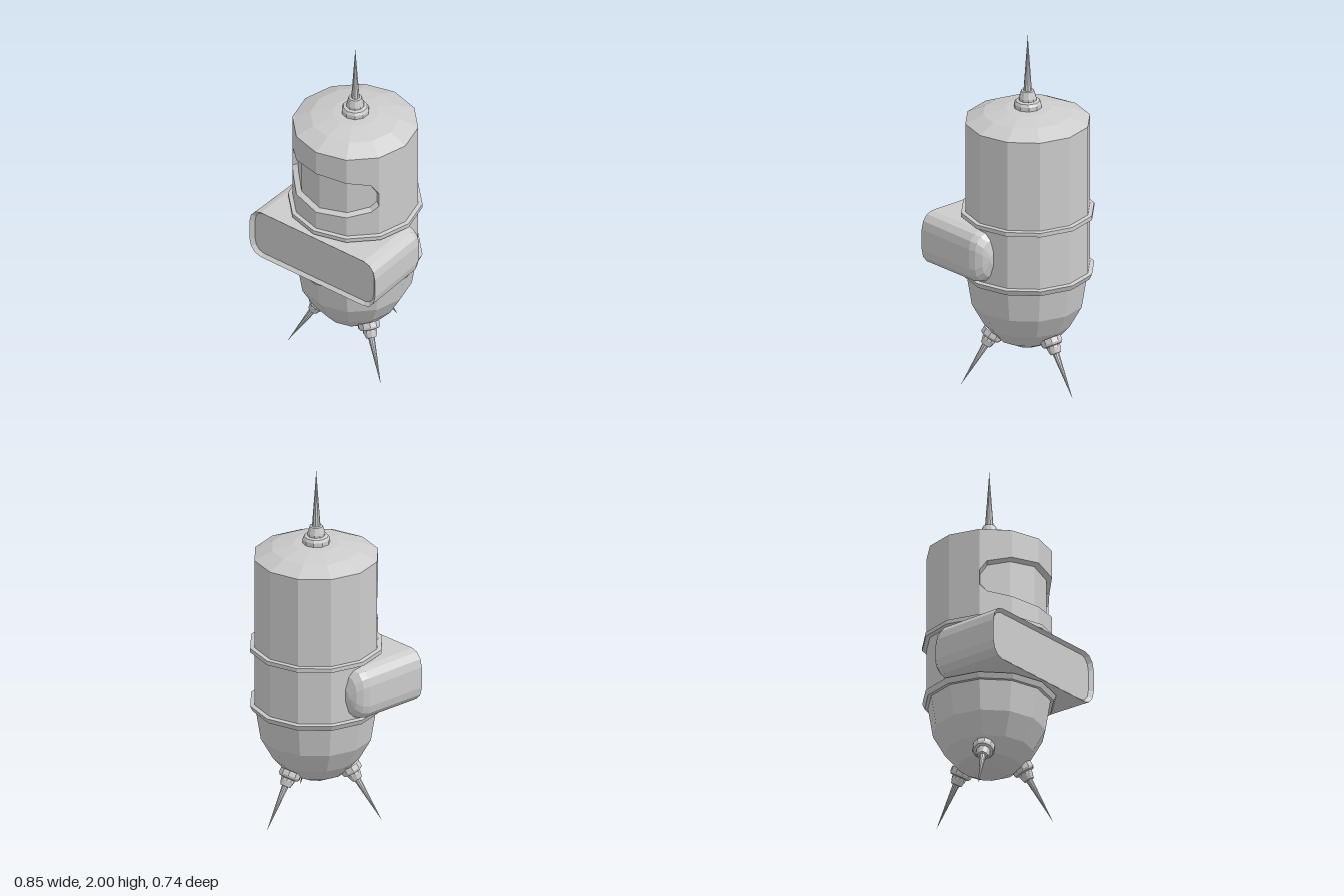
import * as THREE from 'three';

const SIDES = 12;
const material = new THREE.MeshStandardMaterial({ color: 0xcccccc, flatShading: true });

function mesh(name, geometry) {
  const m = new THREE.Mesh(geometry, material);
  m.name = name;
  return m;
}

// Turned part from [radius, y] pairs, listed bottom to top
function turned(name, profile, sides = SIDES, start = 0, sweep = Math.PI * 2) {
  const points = profile.map(([r, y]) => new THREE.Vector2(r, y));
  return mesh(name, new THREE.LatheGeometry(points, sides, start, sweep));
}

// Skin over a list of equally long cross-sections
function skin(name, sections) {
  const n = sections[0].length;
  const index = [];
  for (let i = 0; i < sections.length - 1; i++) {
    for (let j = 0; j < n - 1; j++) {
      const a = i * n + j, b = a + n;
      index.push(a, b, a + 1, b, b + 1, a + 1);
    }
  }
  const g = new THREE.BufferGeometry();
  g.setAttribute('position', new THREE.Float32BufferAttribute(sections.flat(2), 3));
  g.setIndex(index);
  const flat = g.toNonIndexed();
  flat.computeVertexNormals();
  return mesh(name, flat);
}

// Point on the twelve-sided wall at an angle in degrees from the front
function wallPoint(deg, y, radius) {
  const rad = THREE.MathUtils.degToRad;
  const r = radius * Math.cos(rad(15)) / Math.cos(rad((Math.abs(deg) % 30) - 15));
  return [r * Math.sin(rad(deg)), y, r * Math.cos(rad(deg))];
}

// Front of the head with the recessed visor window
function visorWall() {
  const R = 0.34, inner = 0.31, inset = 0.013, bottom = 0.99, top = 1.51;
  const half = [[0, 1.107, 1.366], [30, 1.122, 1.352], [53, 1.148, 1.325], [60, 1.185, 1.268]];
  const columns = [...half.slice(1).reverse().map(([a, lo, hi]) => [-a, lo, hi]), ...half];
  const sections = columns.map(([a, lo, hi]) => [
    wallPoint(a, bottom, R), wallPoint(a, lo, R), wallPoint(a, lo + inset, inner),
    wallPoint(a, hi - inset, inner), wallPoint(a, hi, R), wallPoint(a, top, R),
  ]);
  // Collapsed end columns close the sides of the window
  const end = (s) => [s[0], s[1], s[1], s[4], s[4], s[5]];
  return skin('visorWall', [end(sections[0]), ...sections, end(sections.at(-1))]);
}

// Rounded rectangle section of the chest box
function roundedSection(z, w, h, rx, ry) {
  const pts = [];
  const steps = 3;
  [[1, 1], [-1, 1], [-1, -1], [1, -1]].forEach(([sx, sy], q) => {
    for (let k = 0; k <= steps; k++) {
      const t = (q + k / steps) * Math.PI / 2;
      pts.push([sx * (w - rx) + rx * Math.cos(t), 0.812 + sy * (h - ry) + ry * Math.sin(t), z]);
    }
  });
  pts.push(pts[0]);
  return pts;
}

function chestBox() {
  return skin('chestBox', [
    roundedSection(0.355, 0, 0, 0, 0),
    roundedSection(0.355, 0.403, 0.133, 0.06, 0.075),
    roundedSection(0.375, 0.425, 0.149, 0.075, 0.09),
    roundedSection(0, 0.418, 0.147, 0.075, 0.09),
    roundedSection(-0.035, 0.405, 0.138, 0.075, 0.085),
    roundedSection(-0.065, 0.38, 0.108, 0.07, 0.075),
    roundedSection(-0.085, 0.34, 0.04, 0.05, 0.035),
    roundedSection(-0.087, 0, 0, 0, 0),
  ]);
}

// Stepped socket with a long spike, pointing up from its origin
function spike(name) {
  const g = new THREE.Group();
  g.name = name;
  g.add(
    turned('socket', [[0.075, -0.01], [0.075, 0.025], [0.066, 0.04], [0.048, 0.045],
      [0.048, 0.058], [0.036, 0.098], [0.022, 0.1]], 10),
    turned('needle', [[0.023, 0.098], [0, 0.42]], 10),
  );
  return g;
}

export function createModel() {
  const model = new THREE.Group();
  model.name = 'capsuleRobot';

  // Head
  model.add(visorWall());
  model.add(turned('headBack', [[0.34, 0.99], [0.34, 1.51]], 8, Math.PI / 3, Math.PI * 4 / 3));
  model.add(turned('headDome', [[0.34, 1.51], [0.243, 1.555], [0.125, 1.58], [0, 1.586]]));

  // Waist and its two bands
  model.add(turned('waist', [[0.34, 0.64], [0.34, 0.99]]));
  model.add(turned('upperBand', [[0.335, 0.968], [0.363, 0.974], [0.363, 0.997], [0.335, 1.001]]));
  model.add(turned('lowerBand', [[0.325, 0.628], [0.35, 0.628], [0.363, 0.658], [0.335, 0.664]]));

  // Rounded lower hull
  model.add(turned('lowerHull', [[0, 0.212], [0.09, 0.222], [0.17, 0.262], [0.238, 0.34],
    [0.305, 0.46], [0.333, 0.632]]));

  model.add(chestBox());

  // Antenna and three splayed legs
  const antenna = spike('antenna');
  antenna.position.y = 1.58;
  model.add(antenna);
  const up = new THREE.Vector3(0, 1, 0);
  for (let i = 0; i < 3; i++) {
    const a = Math.PI / 3 + i * Math.PI * 2 / 3;
    const out = (r, y) => new THREE.Vector3(Math.sin(a) * r, y, Math.cos(a) * r);
    const base = out(0.187, 0.29), tip = out(0.365, 0);
    const direction = tip.clone().sub(base);
    const leg = spike('leg');
    leg.position.copy(base);
    leg.scale.setScalar(direction.length() / 0.42);
    leg.quaternion.setFromUnitVectors(up, direction.normalize());
    model.add(leg);
  }
  return model;
}
